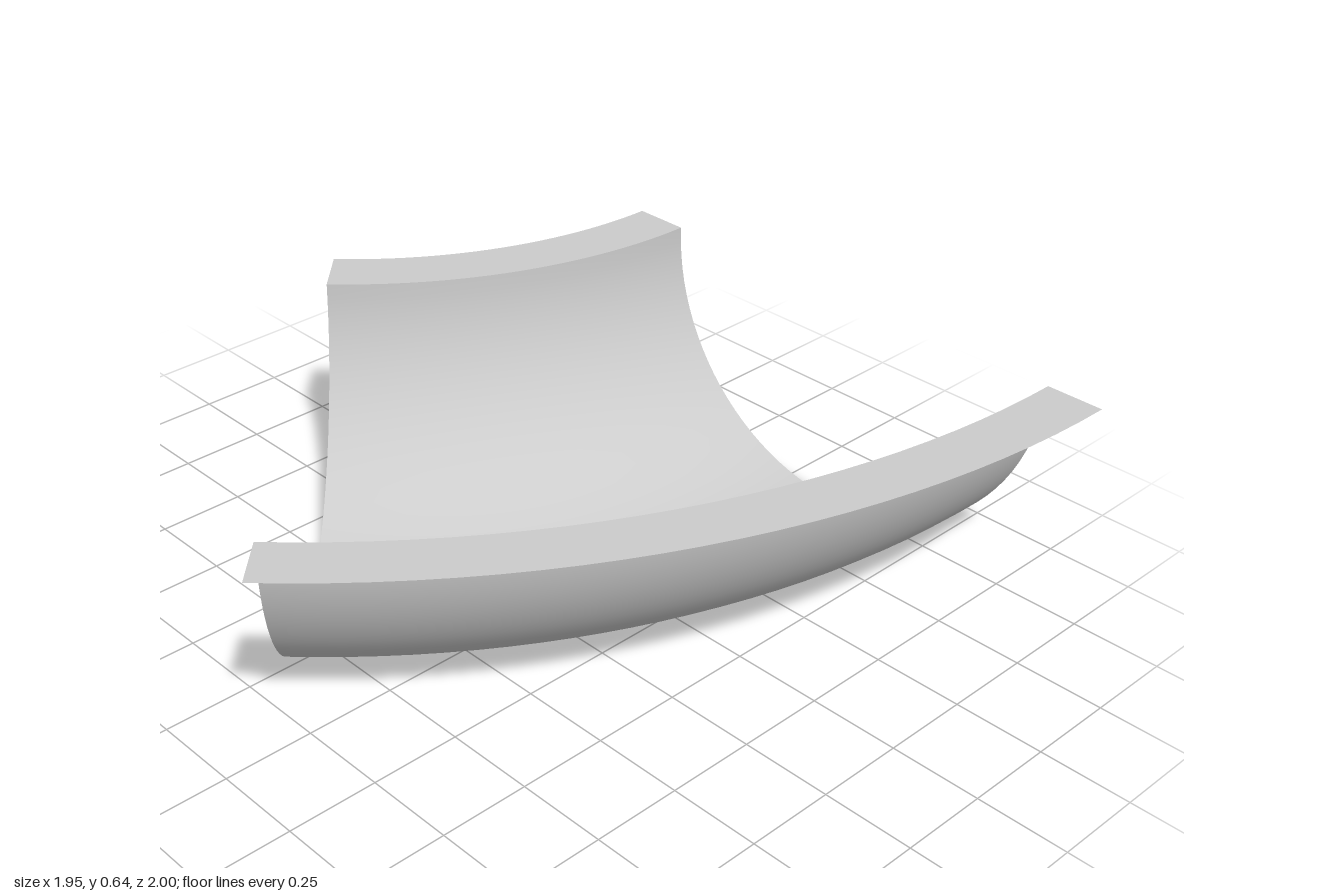
import * as THREE from 'three';

// Curved half-pipe: a profile swept 45 degrees around a vertical axis
const BEND = 2.027;   // distance from bend axis to channel centre
const R = 0.638;      // channel radius
const RIM = 0.159;    // flange width
const AXIS_X = -1.852, AXIS_Z = -1;

export function createModel() {
  const group = new THREE.Group();
  const material = new THREE.MeshStandardMaterial({ color: 0xcccccc, side: THREE.DoubleSide });

  const sweep = (name, points) => {
    const geometry = new THREE.LatheGeometry(points, 24, Math.PI / 4, Math.PI / 4);
    const mesh = new THREE.Mesh(geometry, material);
    mesh.name = name;
    mesh.position.set(AXIS_X, 0, AXIS_Z);
    group.add(mesh);
  };

  // Semicircular channel, from the inner rim down and up to the outer rim
  const arc = [];
  for (let i = 0; i <= 48; i++) {
    const a = Math.PI * (1 + i / 48);
    arc.push(new THREE.Vector2(BEND + R * Math.cos(a), R + R * Math.sin(a)));
  }
  sweep('channel', arc);

  // Flat flanges along both rims
  const flange = (name, r0, r1) =>
    sweep(name, [new THREE.Vector2(r1, R), new THREE.Vector2(r0, R)]);
  flange('innerFlange', BEND - R - RIM, BEND - R);
  flange('outerFlange', BEND + R, BEND + R + RIM);

  return group;
}
